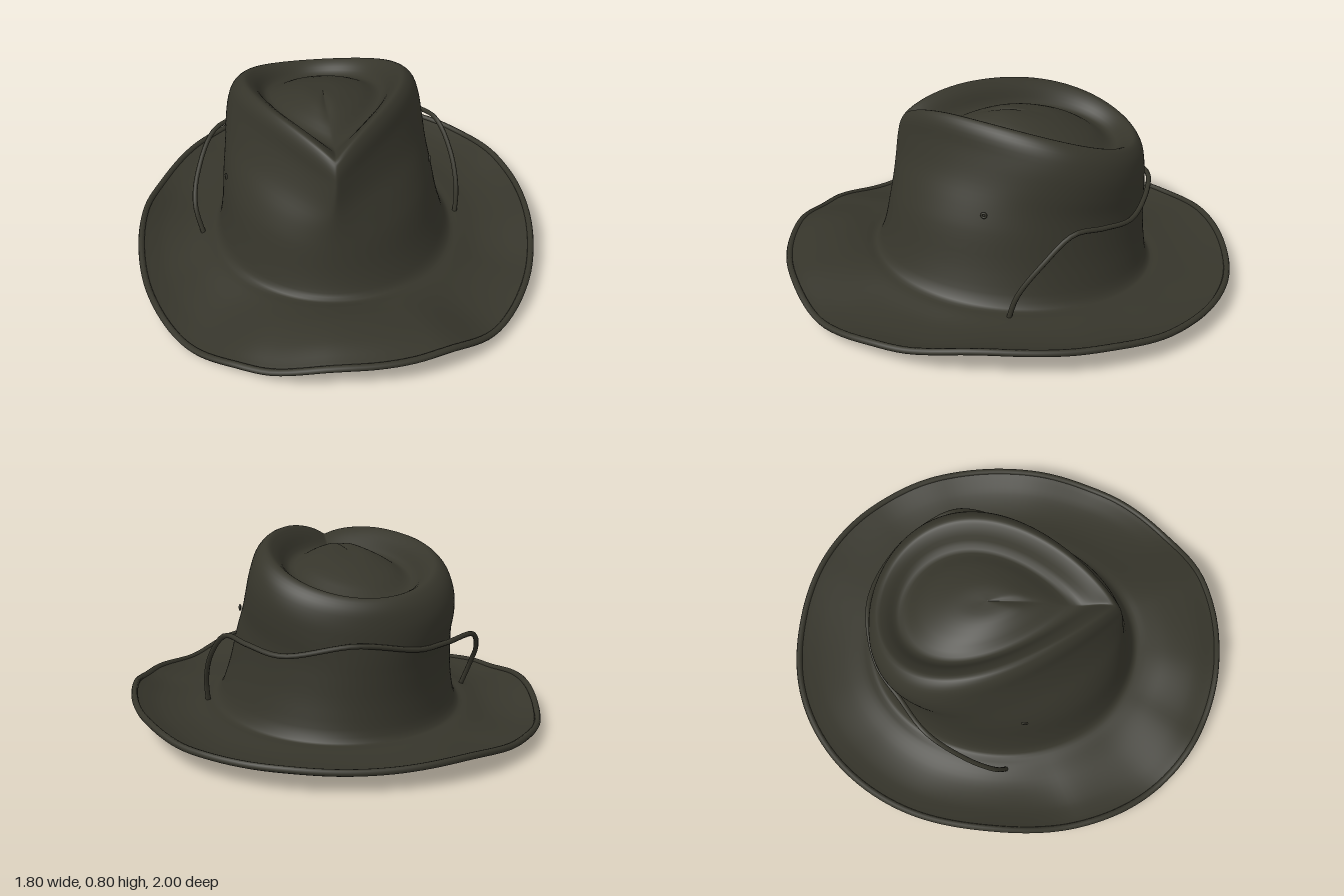
import * as THREE from 'three';

const V = (x, y, z) => new THREE.Vector3(x, y, z);

// Height of the crown crest: highest ahead of the middle, sloping to the back
const crestHeight = (x, z) => 0.795 - (z < 0.18 ? 0.32 : 0.7) * (z - 0.18) ** 2 + 0.04 * x;

// Crown rings from the top dome through the groove, over the crest and down the wall:
// [height fraction, centre x, half width, front z, back z, teardrop sharpness]
const RINGS = [
  [0.94, -0.06, 0.08, 0.06, -0.22, 0.4],
  [0.90, -0.06, 0.17, 0.16, -0.36, 0.6],
  [0.85, -0.06, 0.25, 0.29, -0.46, 0.8],
  [0.95, -0.06, 0.30, 0.39, -0.515, 0.9],
  [1.00, -0.06, 0.345, 0.445, -0.55, 0.85],
  [0.95, -0.06, 0.39, 0.475, -0.582, 0.85],
  [0.83, -0.06, 0.42, 0.492, -0.597, 0.85],
  [0.67, -0.055, 0.445, 0.507, -0.602, 0.6],
  [0.52, -0.045, 0.458, 0.522, -0.604, 0.25],
  [0.38, -0.035, 0.47, 0.538, -0.605, 0.08],
  [0.12, -0.02, 0.495, 0.573, -0.612, 0],
  [-0.05, -0.01, 0.535, 0.605, -0.64, 0],
];

function ringPoint([f, cx, a, zf, zb, m], th, inset) {
  const c = Math.cos(th);
  const tear = Math.pow(Math.hypot(Math.sin(th / 2), 0.1), m) / (1 - 0.25 * m);
  const x = cx + (a - inset) * Math.sin(th) * tear + 0.025 * m * (1 + c);
  const z = (zf + zb) / 2 + ((zf - zb) / 2 - inset) * c;
  const d = Math.min(th, Math.PI * 2 - th);
  const notch = 0.02 * Math.exp(-((d / 0.4) ** 2)) * THREE.MathUtils.smoothstep(f, 0.85, 1);
  const tilt = 0.25 * Math.max(0, 0.1 - f) * c;
  return V(x, 0.12 + f * (crestHeight(x, z) - 0.12) + tilt - notch - inset, z);
}

// Edge heights at sixteen even angles, from the front round by the left
const EDGE_Y = [0.135, 0.13, 0.055, 0.085, 0.13, 0.12, 0.095, 0.09,
  0.08, 0.09, 0.065, 0.045, 0.095, 0.05, 0.022, 0.075];
const power = (v, p) => Math.sign(v) * Math.pow(Math.abs(v), p);

// Wavy outer edge of the brim
function edgePoint(th) {
  const k = (th / (Math.PI * 2)) * 16, i = Math.floor(k);
  const y = THREE.MathUtils.lerp(EDGE_Y[i % 16], EDGE_Y[(i + 1) % 16],
    THREE.MathUtils.smoothstep(k - i, 0, 1));
  return V(0.885 * power(Math.sin(th), 0.92), y, 0.986 * power(Math.cos(th), 0.92));
}

// Brim between the crown and the edge: sagging at the sides, lifted in front
function brimPoint(t, th, drop) {
  const p = ringPoint(RINGS[RINGS.length - 1], th, 0).lerp(edgePoint(th), t);
  const sag = 0.015 + 0.027 * Math.sin(th) ** 2 - 0.05 * Math.max(0, Math.cos(th)) ** 4;
  p.y -= sag * Math.sin(Math.PI * Math.pow(t, 1.1)) + drop;
  return p;
}

// One felt shell: dome, crest, wall, brim top, brim underside and lining
function shellGeometry() {
  const seg = 160, pos = [], idx = [];
  const rows = (RINGS.length * 2 + 10) * 4;
  const steps = [0.15, 0.4, 0.7, 0.9];
  for (let j = 0; j < seg; j++) {
    const th = (j / seg) * Math.PI * 2;
    const pts = [V(-0.05, 0.735, -0.08)];
    RINGS.forEach((r) => pts.push(ringPoint(r, th, 0)));
    steps.forEach((t) => pts.push(brimPoint(t, th, 0)));
    pts.push(edgePoint(th));
    [...steps].reverse().forEach((t) => pts.push(brimPoint(t, th, 0.022)));
    [...RINGS].reverse().forEach((r) => pts.push(ringPoint(r, th, 0.02)));
    pts.push(V(-0.05, 0.715, -0.08));
    const curve = new THREE.CatmullRomCurve3(pts);
    for (let i = 0; i <= rows; i++) pos.push(...curve.getPoint(i / rows).toArray());
  }
  for (let j = 0; j < seg; j++) {
    for (let i = 0; i < rows; i++) {
      const a = j * (rows + 1) + i, d = ((j + 1) % seg) * (rows + 1) + i;
      idx.push(a, a + 1, d, a + 1, d + 1, d);
    }
  }
  const g = new THREE.BufferGeometry();
  g.setAttribute('position', new THREE.Float32BufferAttribute(pos, 3));
  g.setIndex(idx);
  g.computeVertexNormals();
  return g;
}

export function createModel() {
  const hat = new THREE.Group();
  hat.name = 'hat';
  const felt = new THREE.MeshStandardMaterial({ color: 0x36352b });
  felt.name = 'dark olive felt';
  const leather = new THREE.MeshStandardMaterial({ color: 0x35342a });
  leather.name = 'dark leather';

  const add = (name, geometry, material) => {
    const mesh = new THREE.Mesh(geometry, material);
    mesh.name = name;
    hat.add(mesh);
    return mesh;
  };
  const tube = (name, pts, r, material, closed = false) => add(name, new THREE.TubeGeometry(
    new THREE.CatmullRomCurve3(pts, closed), closed ? 160 : 64, r, 8, closed), material);

  add('crownAndBrim', shellGeometry(), felt);

  // Rolled brim edge
  const edge = [];
  for (let i = 0; i < 80; i++) edge.push(edgePoint((i / 80) * Math.PI * 2));
  tube('brimEdge', edge, 0.014, felt, true);

  // Chin cord looped around the back of the crown
  tube('backCord', [
    V(0.565, 0.05, -0.04), V(0.572, 0.18, -0.08), V(0.55, 0.32, -0.18), V(0.49, 0.43, -0.3),
    V(0.41, 0.42, -0.42), V(0.28, 0.40, -0.54), V(0, 0.45, -0.618), V(-0.26, 0.41, -0.555),
    V(-0.41, 0.40, -0.43), V(-0.55, 0.40, -0.3), V(-0.625, 0.29, -0.12), V(-0.638, 0.19, 0),
    V(-0.6, 0.04, 0.06),
  ], 0.011, leather);

  // Cord ends gathered in a slider under the crown
  tube('rightCordEnd', [V(-0.27, 0.08, -0.32), V(-0.05, 0.08, -0.2), V(0.2, 0.07, -0.06),
    V(0.45, 0.045, -0.04), V(0.565, 0.05, -0.04)], 0.011, leather);
  tube('leftCordEnd', [V(-0.6, 0.04, 0.06), V(-0.48, 0.04, 0.08), V(-0.2, 0.05, 0.1),
    V(0.1, 0.07, 0.0), V(0.08, 0.1, -0.14), V(-0.27, 0.09, -0.32)], 0.011, leather);
  const slider = add('cordSlider', new THREE.SphereGeometry(0.05, 20, 14), leather);
  slider.position.set(-0.3, 0.085, -0.33);
  for (const s of [-1, 0, 1]) {
    tube('cordTail', [V(-0.3, 0.08, -0.33), V(-0.34 + 0.03 * s, 0.06, -0.34),
      V(-0.37 + 0.04 * s, 0.04, -0.33 - 0.04 * s)], 0.008, leather);
  }

  // Vent eyelets on both sides of the crown
  for (const [x, y, z] of [[0.412, 0.46, 0.07], [-0.478, 0.43, 0.12]]) {
    const eyelet = add('ventEyelet', new THREE.TorusGeometry(0.01, 0.005, 8, 16), leather);
    eyelet.position.set(x, y, z);
    eyelet.rotation.y = Math.PI / 2 - 0.15 * Math.sign(x);
  }
  return hat;
}
